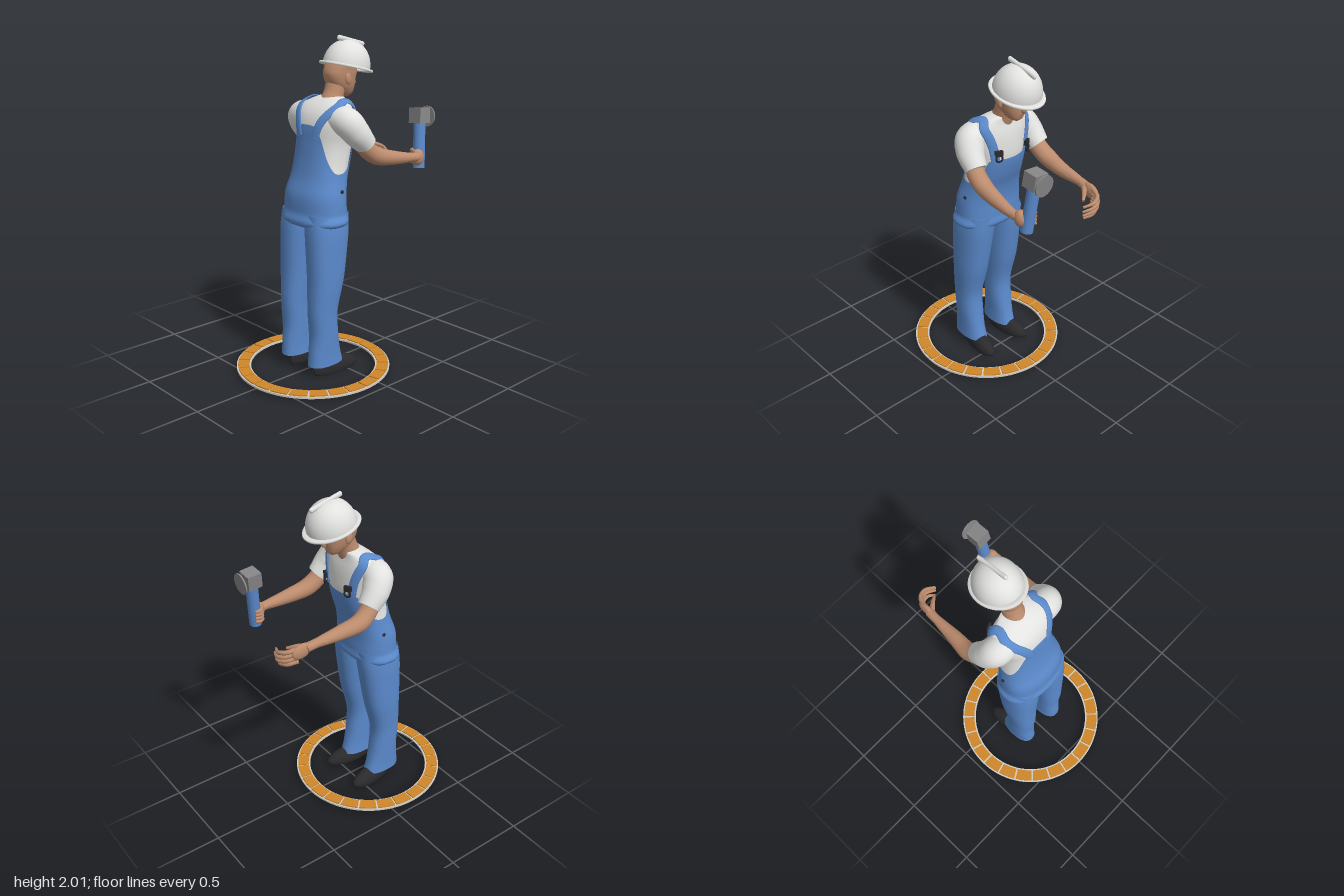
import * as THREE from 'three';
import { toCreasedNormals } from 'three/addons/utils/BufferGeometryUtils.js';

const V = (x, y, z) => new THREE.Vector3(x, y, z);
const mat = (name, color, side = THREE.FrontSide) => {
  const m = new THREE.MeshStandardMaterial({ color, side });
  m.name = name;
  return m;
};

// Closed-in-u grid surface; f(u, v) returns a point
function grid(f, nu, nv) {
  const pos = [], idx = [];
  for (let j = 0; j <= nv; j++) for (let i = 0; i < nu; i++) pos.push(...f(i / nu, j / nv).toArray());
  for (let j = 0; j < nv; j++) for (let i = 0; i < nu; i++) {
    const a = j * nu + i, b = j * nu + (i + 1) % nu;
    idx.push(a, a + nu, b, b, a + nu, b + nu);
  }
  const g = new THREE.BufferGeometry();
  g.setAttribute('position', new THREE.Float32BufferAttribute(pos, 3));
  g.setIndex(idx);
  g.computeVertexNormals();
  return g;
}

// Smooth interpolation of rows whose first entry is the height
function rowAt(rows, y) {
  let i = 0;
  while (i < rows.length - 2 && y > rows[i + 1][0]) i++;
  const p = rows[i], q = rows[i + 1], o = rows[i - 1] || p, r = rows[i + 2] || q;
  const h = q[0] - p[0], t = THREE.MathUtils.clamp((y - p[0]) / h, 0, 1), t2 = t * t, t3 = t2 * t;
  return p.map((a, k) => {
    const m0 = (q[k] - o[k]) / (q[0] - o[0]) * h, m1 = (r[k] - a) / (r[0] - p[0]) * h;
    return a * (2 * t3 - 3 * t2 + 1) + m0 * (t3 - 2 * t2 + t) + q[k] * (3 * t2 - 2 * t3) + m1 * (t3 - t2);
  });
}

// Point on a horizontal oval section; rows are [y, xBack, xFront, zMin, zMax]
const soft = (c) => Math.sign(c) * Math.abs(c) ** 0.85;
function oval(rows, y, a, grow = 0, side = 1) {
  const [, x0, x1, z0, z1] = rowAt(rows, y);
  return V((x0 + x1) / 2 + ((x1 - x0) / 2 + grow) * soft(Math.cos(a)), y,
    side * (z0 + z1) / 2 + ((z1 - z0) / 2 + grow) * soft(Math.sin(a)));
}
function loft(rows, nv, side = 1, nu = 40) {
  const y0 = rows[0][0], y1 = rows[rows.length - 1][0];
  return grid((u, v) => oval(rows, y0 + (y1 - y0) * v, u * Math.PI * 2, 0, side), nu, nv);
}
const symmetric = (rows) => rows.map(([y, a, b, z]) => [y, a, b, -z, z]);

// Round limb of varying radius along a path, with closed ends
function sweep(points, radii, nu = 16, nv = 24) {
  const curve = new THREE.CatmullRomCurve3(points.map((p) => V(...p)));
  const fr = curve.computeFrenetFrames(nv), n = radii.length - 1;
  const g = grid((u, v) => {
    const row = Math.round(v * (nv + 2)), j = THREE.MathUtils.clamp(row - 1, 0, nv), t = j / nv;
    const k = Math.min(Math.floor(t * n), n - 1);
    const r = row === 0 || row === nv + 2 ? 0 : THREE.MathUtils.lerp(radii[k], radii[k + 1], t * n - k);
    return curve.getPoint(t).addScaledVector(fr.normals[j], r * Math.cos(u * Math.PI * 2))
      .addScaledVector(fr.binormals[j], -r * Math.sin(u * Math.PI * 2));
  }, nu, nv + 2);
  return toCreasedNormals(g, 0.9);
}

const torso = symmetric([
  [0.88, -0.13, -0.12, 0.01], [0.93, -0.256, 0.006, 0.207], [1.0, -0.25, 0.015, 0.204], [1.1, -0.243, 0.016, 0.198],
  [1.2, -0.21, 0.034, 0.18], [1.3, -0.19, 0.068, 0.17], [1.4, -0.178, 0.09, 0.172], [1.5, -0.168, 0.088, 0.19],
  [1.56, -0.148, 0.08, 0.195], [1.6, -0.12, 0.07, 0.185], [1.63, -0.085, 0.065, 0.145],
  [1.65, -0.05, 0.065, 0.1], [1.66, -0.03, 0.06, 0.07], [1.668, 0.012, 0.014, 0.002]]);
const leg = [
  [0.07, -0.27, -0.03, 0.053, 0.19], [0.14, -0.265, -0.05, 0.055, 0.19], [0.25, -0.255, -0.07, 0.05, 0.195],
  [0.4, -0.262, -0.08, 0.045, 0.2], [0.6, -0.258, -0.035, 0.028, 0.215], [0.75, -0.26, -0.01, 0.016, 0.217],
  [0.9, -0.26, 0.01, 0.003, 0.216], [1.0, -0.25, 0.015, 0, 0.205]];
const skull = symmetric([
  [1.643, 0.115, 0.135, 0.008], [1.66, 0.075, 0.157, 0.038], [1.69, 0.035, 0.168, 0.058], [1.72, 0, 0.174, 0.07],
  [1.76, -0.02, 0.178, 0.078], [1.8, -0.022, 0.186, 0.082], [1.86, 0.01, 0.17, 0.078], [1.92, 0.08, 0.11, 0.01]]);
// Upper edge of the overalls by angle from the chest, in degrees
const bibEdge = [[0, 1.405], [48, 1.405], [58, 1.35], [72, 1.265], [90, 1.235], [110, 1.25], [130, 1.32],
  [150, 1.44], [165, 1.5], [180, 1.51]];

export function createModel() {
  const model = new THREE.Group();
  const blue = mat('denim blue', 0x5b8acc, THREE.DoubleSide), white = mat('shirt white', 0xe2e2e0);
  const skin = mat('skin', 0xbd8c6e), black = mat('shoe black', 0x2a2a2c), grey = mat('tool grey', 0x868686);
  const orange = mat('tile orange', 0xcf872a), pale = mat('stone grey', 0xcfccc6), brown = mat('brow brown', 0x4a3328);
  const lip = mat('lip', 0x9c6654);
  const add = (name, geo, m, parent = model) => {
    const mesh = new THREE.Mesh(geo, m);
    mesh.name = name;
    parent.add(mesh);
    return mesh;
  };
  const blob = (name, m, p, s, parent) => {
    const b = add(name, new THREE.SphereGeometry(1, 24, 16), m, parent);
    b.position.set(...p);
    b.scale.set(...s);
    return b;
  };

  // Tiled ground ring
  const sector = (r0, r1, a0, a1, depth) => {
    const s = new THREE.Shape();
    s.absarc(0, 0, r1, a0, a1, false);
    s.absarc(0, 0, r0, a1, a0, true);
    return new THREE.ExtrudeGeometry(s, { depth, bevelEnabled: false, curveSegments: 6 }).rotateX(-Math.PI / 2);
  };
  const ring = new THREE.Group();
  ring.name = 'groundRing';
  ring.position.set(-0.14, 0.012, 0);
  model.add(ring);
  const disc = new THREE.Shape().absarc(0, 0, 0.47, 0, Math.PI * 2);
  disc.holes.push(new THREE.Path().absarc(0, 0, 0.382, 0, Math.PI * 2, true));
  add('ringBase', new THREE.ExtrudeGeometry(disc, { depth: 0.011, bevelEnabled: false, curveSegments: 48 })
    .rotateX(-Math.PI / 2), pale, ring);
  for (let i = 0; i < 24; i++) {
    const a = i * Math.PI / 12;
    add('tile', sector(0.392, 0.461, a + 0.013, a + Math.PI / 12 - 0.013, 0.007), orange, ring).position.y = 0.011;
  }

  // Shirt and overalls
  add('shirt', loft(torso, 60, 1, 56), white);
  add('overalls', grid((u, v) => {
    const a = u * Math.PI * 2, d = THREE.MathUtils.radToDeg(Math.min(a, Math.PI * 2 - a));
    return oval(torso, THREE.MathUtils.lerp(0.88, rowAt(bibEdge, d)[1], v), a, 0.008);
  }, 96, 44), blue);

  // Straps laid over the shoulders; points are [height, angle]
  const strapPath = new THREE.CatmullRomCurve3([[1.44, 163], [1.52, 156], [1.585, 140], [1.622, 115], [1.636, 90],
    [1.615, 62], [1.56, 44], [1.49, 37], [1.41, 35]].map(([y, d]) => V(y, THREE.MathUtils.degToRad(d), 0)));
  for (const s of [1, -1]) {
    const at = (t) => {
      const p = strapPath.getPoint(THREE.MathUtils.clamp(t, 0, 1));
      return [p.x, p.y * s];
    };
    add('strap', grid((u, v) => {
      const [y, a] = at(v), c = oval(torso, y, a);
      const n = oval(torso, y + 0.004, a).sub(oval(torso, y - 0.004, a))
        .cross(oval(torso, y, a + 0.05).sub(oval(torso, y, a - 0.05))).normalize();
      const t = oval(torso, ...at(v + 0.02)).sub(oval(torso, ...at(v - 0.02))).normalize();
      const side = n.clone().cross(t).normalize(), w = u * Math.PI * 2;
      return c.addScaledVector(n, 0.009 - 0.007 * Math.sin(w)).addScaledVector(side, 0.027 * Math.cos(w));
    }, 12, 50), blue);
    // Buckles and side buttons
    const clip = add('buckle', new THREE.BoxGeometry(0.016, 0.03, 0.045), black);
    clip.position.set(0.102, 1.465, s * 0.108);
    clip.rotation.y = -s * 0.45;
    const hook = add('buckleLoop', new THREE.TorusGeometry(0.019, 0.006, 6, 16), black);
    hook.position.set(0.106, 1.432, s * 0.108);
    hook.rotation.y = Math.PI / 2 - s * 0.45;
    blob('sideButton', black, [-0.09, 1.135, s * 0.203], [0.011, 0.011, 0.007]);

    // Trouser legs and shoes
    add('trouserLeg', loft(leg, 40, s), blue);
    const shoe = add('shoe', new THREE.SphereGeometry(1, 32, 20), black);
    const p = shoe.geometry.attributes.position;
    for (let i = 0; i < p.count; i++) {
      const x = p.getX(i), y = p.getY(i), z = p.getZ(i);
      p.setXYZ(i, x * 0.158, Math.max(y, -0.35) * (0.075 - 0.02 * x), z * (0.052 + 0.008 * x));
    }
    shoe.geometry.computeVertexNormals();
    shoe.position.set(-0.075, 0.0263, s * 0.125);
    shoe.rotation.y = -s * 0.12;

    // Sleeves and arms
    add('sleeve', sweep([[-0.05, 1.545, s * 0.12], [-0.04, 1.525, s * 0.195], [0.0, 1.465, s * 0.228],
      [0.062, 1.395, s * 0.243]], [0.085, 0.088, 0.08, 0.063], 28), white);
    const hand = s > 0 ? [[0.25, 1.298, 0.272], [0.4, 1.28, 0.287], [0.47, 1.275, 0.287]]
      : [[0.25, 1.3, -0.243], [0.4, 1.287, -0.234], [0.47, 1.277, -0.228]];
    add('arm', sweep([[-0.01, 1.48, s * 0.23], [0.06, 1.375, s * 0.245], [0.13, 1.325, s * 0.255], ...hand],
      [0.05, 0.053, 0.053, 0.043, 0.027, 0.027], 20, 36), skin);
    // Face details on each side
    blob('ear', skin, [0.072, 1.757, s * 0.08], [0.022, 0.034, 0.012]).rotation.z = 0.15;
    blob('eye', black, [0.168, 1.768, s * 0.034], [0.008, 0.006, 0.014]);
    blob('eyebrow', brown, [0.17, 1.784, s * 0.036], [0.009, 0.005, 0.022]).rotation.x = -s * 0.15;
  }

  // Open hand
  blob('palm', skin, [0.5, 1.265, -0.224], [0.062, 0.045, 0.021]).rotation.z = -0.25;
  for (let i = 0; i < 4; i++) {
    const y = 1.287 - i * 0.026, k = [0.95, 1, 0.97, 0.85][i];
    add('finger', sweep([[0.52, y, -0.222], [0.5 + 0.085 * k, y - 0.016, -0.195], [0.5 + 0.105 * k, y - 0.03, -0.145],
      [0.5 + 0.08 * k, y - 0.045, -0.225 + 0.145 * k]], [0.014, 0.013, 0.011, 0.007], 10, 14), skin);
  }
  add('thumb', sweep([[0.46, 1.28, -0.215], [0.5, 1.27, -0.175], [0.535, 1.25, -0.13]], [0.016, 0.014, 0.008], 10, 12), skin);

  // Gripping hand
  blob('fist', skin, [0.462, 1.272, 0.28], [0.042, 0.05, 0.035]);
  for (let i = 0; i < 4; i++) {
    const y = 1.305 - i * 0.022;
    add('gripFinger', sweep([[0.46, y, 0.26], [0.465, y, 0.23], [0.49, y, 0.213], [0.515, y, 0.218]],
      [0.013, 0.013, 0.012, 0.008], 10, 12), skin);
  }

  // Mallet: local y runs up the handle
  const mallet = new THREE.Group();
  mallet.name = 'mallet';
  mallet.position.set(0.492, 1.205, 0.264);
  mallet.quaternion.setFromUnitVectors(V(0, 1, 0), V(0.025, 0.27, -0.025).normalize());
  model.add(mallet);
  add('malletHandle', new THREE.CylinderGeometry(0.036, 0.036, 0.28, 24), blue, mallet).position.y = 0.135;
  add('malletHead', new THREE.BoxGeometry(0.088, 0.092, 0.092), grey, mallet).position.set(-0.002, 0.312, 0);
  const face = add('malletFace', new THREE.CylinderGeometry(0.063, 0.063, 0.009, 32), grey, mallet);
  face.position.set(0.066, 0.306, 0);
  face.rotation.z = Math.PI / 2;

  // Head
  add('neck', sweep([[0.0, 1.6, 0], [0.03, 1.67, 0], [0.06, 1.76, 0]], [0.068, 0.06, 0.06], 24), skin);
  add('head', loft(skull, 36), skin);
  add('nose', sweep([[0.168, 1.775, 0], [0.182, 1.745, 0], [0.19, 1.72, 0], [0.178, 1.71, 0]],
    [0.009, 0.011, 0.015, 0.01], 12, 14), skin);
  blob('mouth', lip, [0.162, 1.687, 0], [0.009, 0.006, 0.024]);

  // Hard hat
  const hat = new THREE.Group();
  hat.name = 'hardHat';
  hat.position.set(0.13, 1.817, 0);
  hat.rotation.z = -0.245;
  model.add(hat);
  const dome = [];
  for (let i = 0; i <= 16; i++) {
    const a = i / 16 * Math.PI / 2;
    dome.push(new THREE.Vector2(Math.cos(a) ** 0.9, Math.sin(a)));
  }
  add('hatDome', new THREE.LatheGeometry(dome, 48), white, hat).scale.set(0.148, 0.156, 0.134);
  const brim = [[0.8, -0.004], [0.98, -0.008], [1, -0.002], [0.98, 0.006], [0.8, 0.01], [0.8, -0.004]];
  add('hatBrim', new THREE.LatheGeometry(brim.map((p) => new THREE.Vector2(...p)), 48), white, hat).scale.set(0.175, 1, 0.147);
  const ridge = add('hatRidge', new THREE.CapsuleGeometry(0.012, 0.195, 6, 12), white, hat);
  ridge.position.y = 0.152;
  ridge.rotation.z = Math.PI / 2;
  ridge.scale.x = 1.3;
  return model;
}
